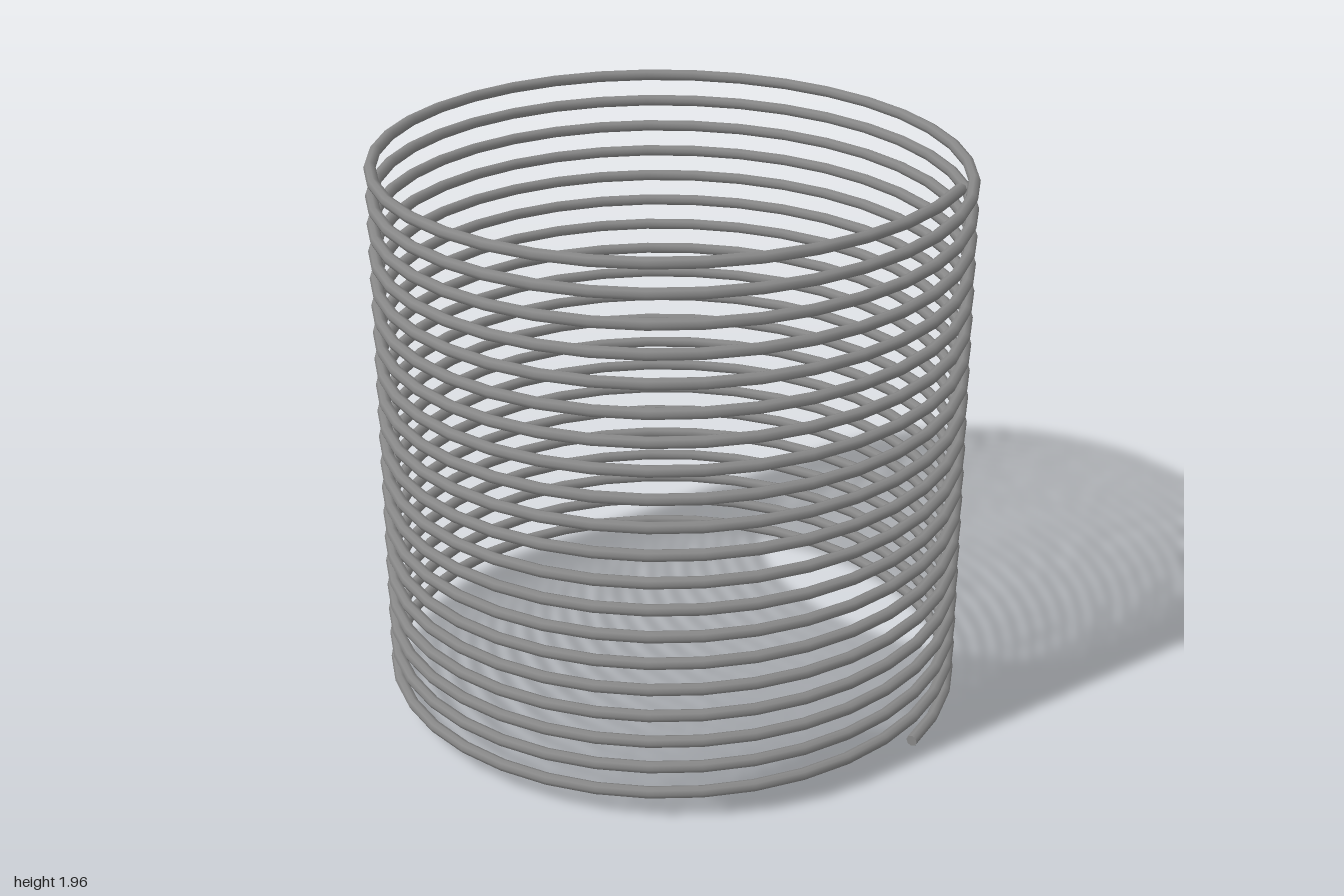
import * as THREE from 'three';

const RADIUS = 0.98, WIRE = 0.02, PITCH = 0.096;
const STEPS_PER_TURN = 36, STEPS = 20 * STEPS_PER_TURN + 1, SIDES = 8;
const TURNS = STEPS / STEPS_PER_TURN;

// Rising helix with radial frames, so the wire never twists
class Helix extends THREE.Curve {
  getPoint(t, target = new THREE.Vector3()) {
    const a = t * TURNS * Math.PI * 2;
    return target.set(RADIUS * Math.cos(a), WIRE + t * TURNS * PITCH, -RADIUS * Math.sin(a));
  }
  getPointAt(t, target) {
    return this.getPoint(t, target);
  }
  getTangent(t, target = new THREE.Vector3()) {
    const a = t * TURNS * Math.PI * 2;
    return target.set(-RADIUS * Math.sin(a), PITCH / (Math.PI * 2), -RADIUS * Math.cos(a)).normalize();
  }
  computeFrenetFrames(segments) {
    const tangents = [], normals = [], binormals = [];
    for (let i = 0; i <= segments; i++) {
      const a = (i / segments) * TURNS * Math.PI * 2;
      const tangent = this.getTangent(i / segments);
      const normal = new THREE.Vector3(Math.cos(a), 0, -Math.sin(a));
      tangents.push(tangent);
      normals.push(normal);
      binormals.push(new THREE.Vector3().crossVectors(tangent, normal));
    }
    return { tangents, normals, binormals };
  }
}

export function createModel() {
  const group = new THREE.Group();
  group.name = 'coilSpring';
  const steel = new THREE.MeshStandardMaterial({ color: 0x888888 });
  steel.name = 'steel grey';

  // Coiled wire
  const helix = new Helix();
  const coil = new THREE.Mesh(new THREE.TubeGeometry(helix, STEPS, WIRE, SIDES, false), steel);
  coil.name = 'coil';
  group.add(coil);

  // Flat caps on both wire ends
  for (const [name, t, sign] of [['bottomEnd', 0, -1], ['topEnd', 1, 1]]) {
    const cap = new THREE.Mesh(new THREE.CircleGeometry(WIRE, SIDES), steel);
    cap.name = name;
    const position = helix.getPoint(t);
    cap.position.copy(position);
    cap.lookAt(position.clone().addScaledVector(helix.getTangent(t), sign));
    group.add(cap);
  }
  return group;
}
